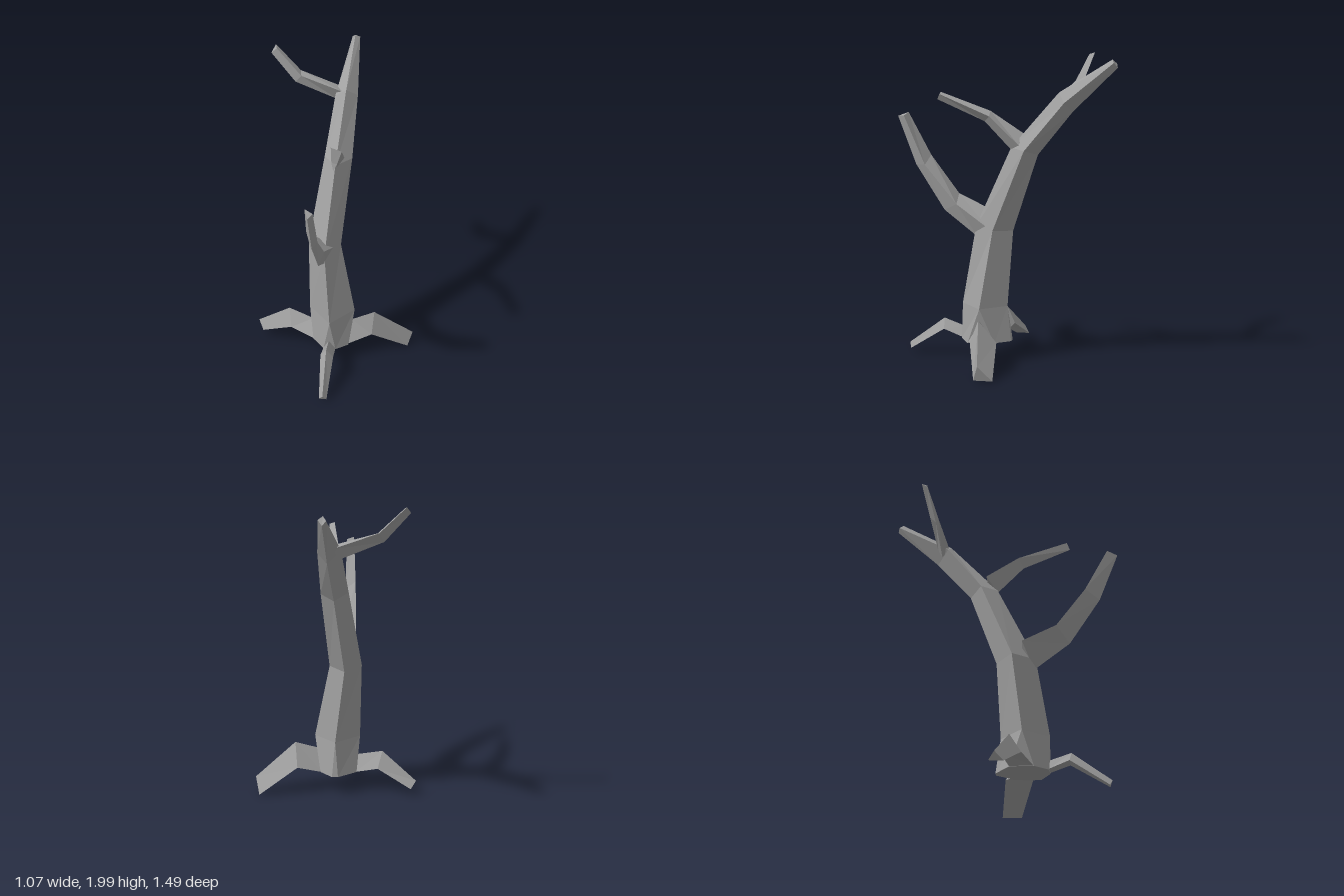
import * as THREE from 'three';

const bark = new THREE.MeshStandardMaterial({ color: 0xa0a0a0, flatShading: true });
bark.name = 'grey bark';

// Skins a list of matching cross-sections and closes both ends.
function loft(name, rings) {
  const tris = [];
  const add = (a, b, c) => {
    const [A, B, C] = [a, b, c].map((p) => new THREE.Vector3(...p));
    const area = B.clone().sub(A).cross(C.clone().sub(A)).length();
    if (area > 1e-7) tris.push([A, B, C]);
  };
  const n = rings[0].length;
  for (let r = 0; r < rings.length - 1; r++) {
    for (let i = 0; i < n; i++) {
      const j = (i + 1) % n, p = rings[r], q = rings[r + 1];
      add(p[i], p[j], q[j]);
      add(p[i], q[j], q[i]);
    }
  }
  const last = rings[rings.length - 1];
  for (let i = 1; i < n - 1; i++) {
    add(rings[0][0], rings[0][i + 1], rings[0][i]);
    add(last[0], last[i], last[i + 1]);
  }
  // Signed volume tells whether the skin is inside out
  const volume = tris.reduce((s, [a, b, c]) => s + a.dot(b.clone().cross(c)), 0);
  const points = tris.flatMap(([a, b, c]) => (volume < 0 ? [a, c, b] : [a, b, c]));
  const geometry = new THREE.BufferGeometry().setFromPoints(points);
  geometry.computeVertexNormals();
  const mesh = new THREE.Mesh(geometry, bark);
  mesh.name = name;
  return mesh;
}

export function createModel() {
  const tree = new THREE.Group();
  tree.name = 'deadTree';

  // Trunk: four-sided, corners in order front, left, back, right
  const trunk = [
    [[-0.01, 0.37, 0.28], [0.14, 0.37, 0.12], [0, 0.37, -0.03], [-0.16, 0.37, 0.12]],
    [[-0.05, 0.88, 0.2], [0.04, 0.87, 0.06], [-0.06, 0.86, -0.05], [-0.17, 0.88, 0.06]],
    [[-0.01, 1.41, -0.05], [0.085, 1.4, -0.16], [0, 1.37, -0.23], [-0.09, 1.41, -0.15]],
    [[0.02, 1.77, -0.37], [0.09, 1.71, -0.42], [0.03, 1.65, -0.46], [-0.05, 1.72, -0.38]],
    [[0.04, 1.98, -0.71], [0.07, 1.96, -0.725], [0.045, 1.93, -0.745], [0.02, 1.955, -0.735]],
  ];
  tree.add(loft('trunk', trunk));

  // Foot of the trunk widens into an eight-cornered base
  const foot = [
    [-0.05, 0.14, 0.275], [0.03, 0.14, 0.275], [0.11, 0.13, 0.21], [0.1, 0.14, 0.03],
    [0.02, 0.14, -0.06], [-0.02, 0.14, -0.06], [-0.14, 0.14, 0.04], [-0.13, 0.14, 0.19],
  ];
  tree.add(loft('trunkFoot', [foot, trunk[0].flatMap((p) => [p, p])]));

  // Roots: three-sided, corners are ridge and the two lower edges
  tree.add(loft('leftRoot', [
    [[0.12, 0.28, 0.12], [0.1, 0.135, 0.21], [0.09, 0.14, 0.03]],
    [[0.27, 0.33, 0.085], [0.26, 0.18, 0.145], [0.25, 0.19, -0.03]],
    [[0.53, 0.11, 0.01], [0.5, 0.01, 0.045], [0.5, 0.015, -0.08]],
  ]));
  tree.add(loft('rightRoot', [
    [[-0.14, 0.245, 0.1], [-0.12, 0.14, 0.19], [-0.13, 0.14, 0.04]],
    [[-0.31, 0.285, 0.06], [-0.29, 0.175, 0.13], [-0.28, 0.18, 0]],
    [[-0.535, 0.1, 0], [-0.5, 0.05, 0.05], [-0.5, 0.055, -0.04]],
  ]));
  tree.add(loft('frontRoot', [
    [[-0.015, 0.21, 0.27], [0.03, 0.145, 0.27], [-0.05, 0.145, 0.27]],
    [[-0.015, 0.255, 0.41], [0.03, 0.19, 0.4], [-0.055, 0.195, 0.4]],
    [[-0.01, 0.07, 0.655], [0.015, 0.035, 0.64], [-0.035, 0.035, 0.64]],
  ]));

  // Branches: three-sided, corners are underside, left and right edges
  tree.add(loft('lowerBranch', [
    [[-0.05, 0.81, 0.19], [0, 0.88, 0.105], [-0.13, 0.98, 0.12]],
    [[-0.06, 0.975, 0.42], [-0.035, 1.02, 0.33], [-0.125, 1.08, 0.34]],
    [[-0.07, 1.27, 0.62], [-0.045, 1.27, 0.55], [-0.115, 1.33, 0.53]],
    [[-0.075, 1.585, 0.745], [-0.05, 1.59, 0.695], [-0.1, 1.61, 0.68]],
  ]));
  tree.add(loft('middleBranch', [
    [[0, 1.4, -0.05], [0.04, 1.43, -0.115], [-0.05, 1.5, -0.12]],
    [[0.01, 1.575, 0.12], [0.045, 1.61, 0.08], [-0.02, 1.64, 0.09]],
    [[0.035, 1.71, 0.43], [0.055, 1.745, 0.41], [0.022, 1.757, 0.41]],
  ]));
  tree.add(loft('upperBranch', [
    [[-0.04, 1.67, -0.42], [0, 1.75, -0.38], [0, 1.74, -0.455]],
    [[-0.31, 1.78, -0.42], [-0.27, 1.83, -0.41], [-0.28, 1.84, -0.465]],
    [[-0.465, 1.96, -0.455], [-0.43, 1.99, -0.46], [-0.44, 2, -0.495]],
  ]));
  return tree;
}
